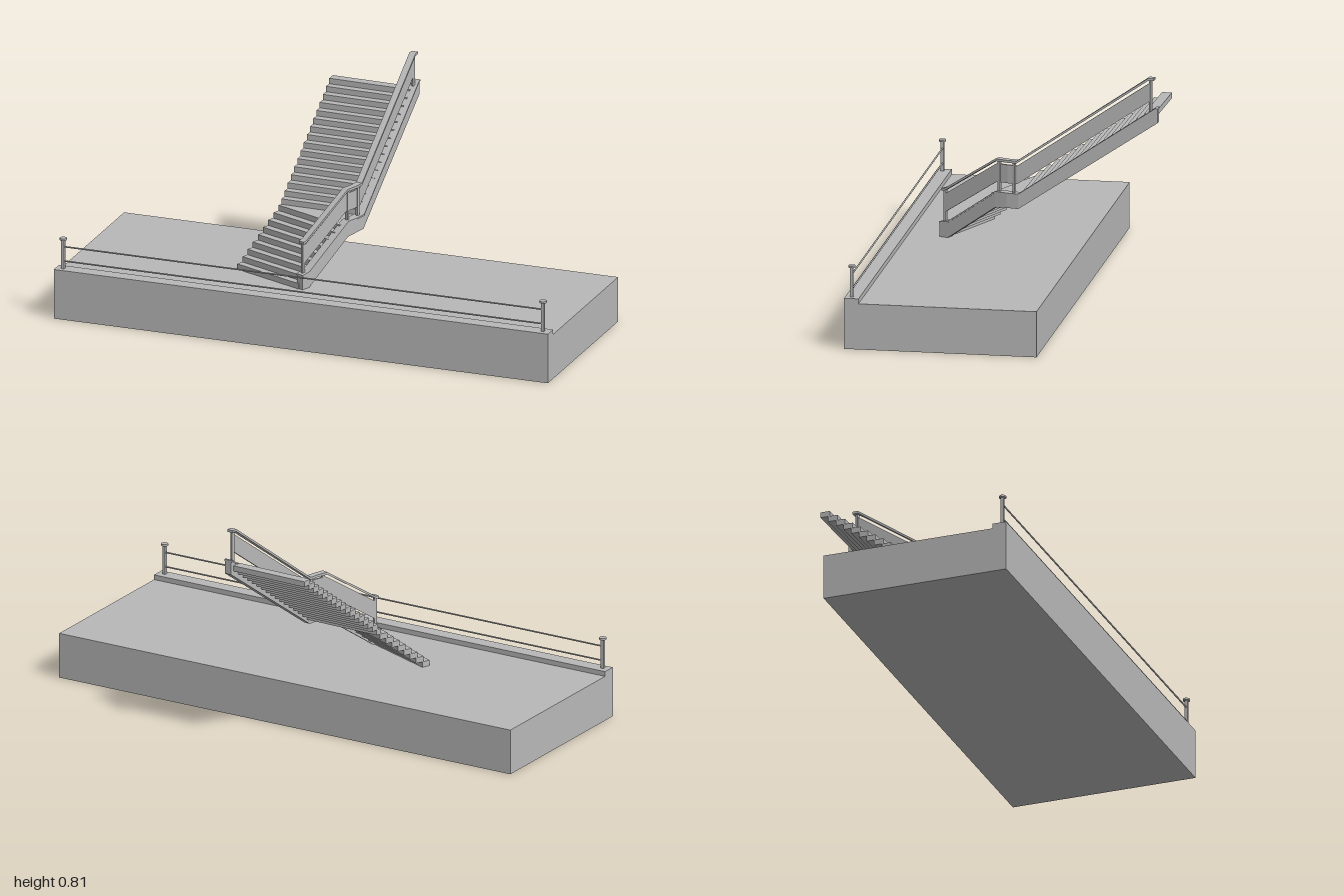
import * as THREE from 'three';

const concrete = new THREE.MeshStandardMaterial({ color: 0xb8b8b8 });
concrete.name = 'grey concrete';

function add(parent, name, geometry, x = 0, y = 0, z = 0) {
  const mesh = new THREE.Mesh(geometry, concrete);
  mesh.name = name;
  mesh.position.set(x, y, z);
  parent.add(mesh);
  return mesh;
}
const box = (w, h, d) => new THREE.BoxGeometry(w, h, d);

// Plan line of the balustrade: straight, a gentle bend at the landing, straight
const plan = [[-0.2, 0.003], [0.045, 0.003], [0.09, 0.001], [0.132, -0.007], [0.61, -0.185]];
function zAt(x) {
  let i = 0;
  while (i < plan.length - 2 && x > plan[i + 1][0]) i++;
  const [a, b] = [plan[i], plan[i + 1]];
  return a[1] + (b[1] - a[1]) * (x - a[0]) / (b[0] - a[0]);
}

// Upright band along the plan line; stations are [x, low y, high y]
function band(stations, thickness) {
  const rings = stations.map(([x, lo, hi]) => {
    const z = zAt(x), n = new THREE.Vector2(zAt(x - 0.01) - zAt(x + 0.01), 0.02).normalize();
    n.multiplyScalar(thickness / 2);
    return [[x + n.x, lo, z + n.y], [x + n.x, hi, z + n.y], [x - n.x, hi, z - n.y], [x - n.x, lo, z - n.y]];
  });
  const pos = [];
  const quad = (a, b, c, d) => pos.push(...a, ...b, ...c, ...a, ...c, ...d);
  for (let i = 0; i < rings.length - 1; i++) {
    for (let j = 0; j < 4; j++) {
      const k = (j + 1) % 4;
      quad(rings[i][j], rings[i + 1][j], rings[i + 1][k], rings[i][k]);
    }
  }
  const s = rings[0], e = rings[rings.length - 1];
  quad(s[0], s[1], s[2], s[3]);
  quad(e[3], e[2], e[1], e[0]);
  const g = new THREE.BufferGeometry();
  g.setAttribute('position', new THREE.Float32BufferAttribute(pos, 3));
  g.computeVertexNormals();
  return g;
}

// A flight of block treads climbing along local +x
function flight(parent, name, count, run, rise, firstTop, width) {
  const g = new THREE.Group();
  g.name = name;
  for (let k = 0; k < count; k++) {
    add(g, 'tread', box(run + 0.006, rise, width), (k + 0.5) * run - 0.003, firstTop + (k - 0.5) * rise, -width / 2);
  }
  parent.add(g);
  return g;
}

export function createModel() {
  const model = new THREE.Group();
  model.name = 'platform with stairs';

  // Platform with curb and edge railing
  const platform = new THREE.Group();
  platform.name = 'platform';
  platform.rotation.y = Math.PI / 8;
  model.add(platform);
  add(platform, 'slab', box(0.693, 0.167, 1.878), 0, 0.0835, 0);
  add(platform, 'curb', box(0.052, 0.018, 1.878), -0.3205, 0.176, 0);
  for (const z of [-0.912, 0.912]) {
    add(platform, 'railingPost', box(0.011, 0.112, 0.011), -0.323, 0.241, z);
    add(platform, 'postCap', new THREE.CylinderGeometry(0.013, 0.013, 0.007, 12), -0.323, 0.2965, z);
  }
  for (const y of [0.213, 0.267]) {
    const rail = add(platform, 'railingBar', new THREE.CylinderGeometry(0.003, 0.003, 1.824, 8), -0.323, y, 0);
    rail.rotation.x = Math.PI / 2;
  }

  // Stairs
  const stairs = new THREE.Group();
  stairs.name = 'stairs';
  model.add(stairs);
  flight(stairs, 'lowerFlight', 8, 0.0265, 0.0207, 0.1875, 0.3).position.set(-0.187, 0, 0);
  const upper = flight(stairs, 'upperFlight', 16, 0.0294, 0.0205, 0.3735, 0.31);
  upper.position.set(0.15, 0, -0.012);
  upper.rotation.y = THREE.MathUtils.degToRad(21);

  // Wedge-shaped landing between the flights
  const shape = new THREE.Shape([[0.02, 0], [0.152, 0.012], [0.041, 0.3], [0.02, 0.3]].map(p => new THREE.Vector2(...p)));
  const landing = new THREE.ExtrudeGeometry(shape, { depth: 0.0207, bevelEnabled: false });
  landing.rotateX(-Math.PI / 2);
  add(stairs, 'landing', landing, 0, 0.3323, 0);

  // Stringer and balustrade on the front side
  const top = [[-0.19, 0.222], [-0.155, 0.228], [0.045, 0.365], [0.09, 0.365], [0.132, 0.365], [0.597, 0.705], [0.605, 0.705]];
  const low = [0.167, 0.167, 0.306, 0.31, 0.31, 0.646, 0.652];
  add(stairs, 'stringer', band(top.map(([x, y], i) => [x, low[i], y - 0.006]), 0.026));
  add(stairs, 'stringerCap', band(top.map(([x, y]) => [x, y - 0.006, y]), 0.032));

  const railLine = [[-0.182, 0.225], [-0.168, 0.228], [0.045, 0.365], [0.09, 0.365], [0.125, 0.365], [0.573, 0.695], [0.592, 0.695]];
  add(stairs, 'handrail', band(railLine.map(([x, y]) => [x, y + 0.11, y + 0.119]), 0.024));
  const panelLine = [[-0.172, 0.224], ...railLine.slice(2, 5), [0.58, 0.697]];
  add(stairs, 'balustradePanel', band(panelLine.map(([x, y]) => [x, y + 0.033, y + 0.1]), 0.007));
  for (const [x, y] of [[-0.173, 0.224], [0.055, 0.365], [0.113, 0.365], [0.579, 0.69]]) {
    add(stairs, 'balusterPost', box(0.01, 0.116, 0.01), x, y + 0.056, zAt(x));
  }
  return model;
}
